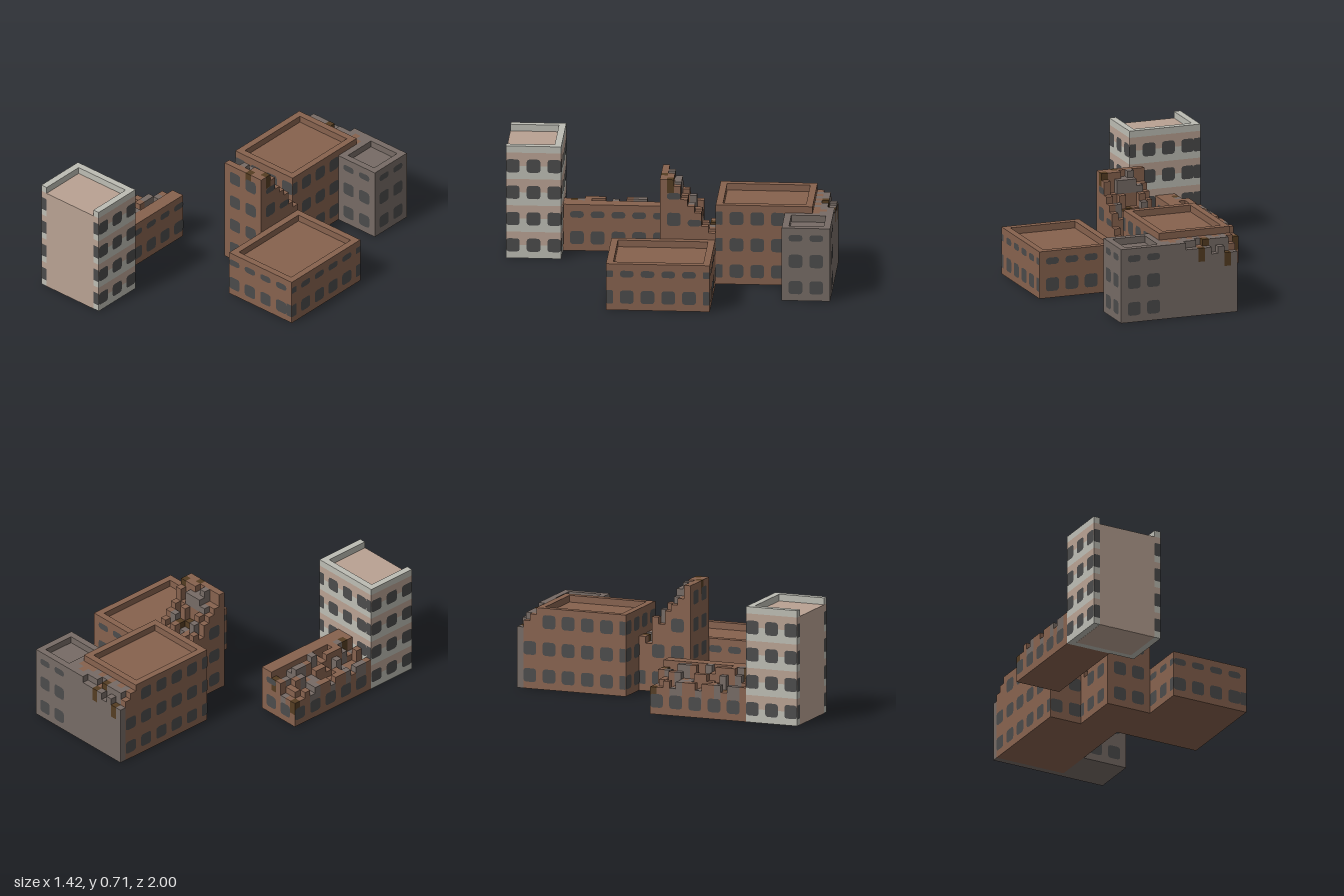
import * as THREE from 'three';
import { mergeGeometries } from 'three/addons/utils/BufferGeometryUtils.js';

const flat = (name, color) => {
  const m = new THREE.MeshStandardMaterial({ color });
  m.name = name;
  return m;
};

// All sizes below are in blocks; 24 blocks make one unit.
const BLOCK = 1 / 24;

export function createModel() {
  const brick = flat('brick', 0x87624e);
  const stone = flat('greyStone', 0x766b65);
  const plaster = flat('pinkPlaster', 0xb9a293);
  const trim = flat('paleTrim', 0xbdbdb4);
  const glass = flat('darkGlass', 0x4b4b4b);
  const char = flat('charredWood', 0x553d22);

  let seed = 7;
  const rand = () => (seed = (seed * 16807) % 2147483647) / 2147483647;

  const root = new THREE.Group();
  root.name = 'ruinedCityBlock';
  root.scale.setScalar(BLOCK);

  const building = (name) => {
    const g = new THREE.Group();
    g.name = name;
    root.add(g);
    return g;
  };

  const boxGeo = (x0, x1, y0, y1, z0, z1) =>
    new THREE.BoxGeometry(x1 - x0, y1 - y0, z1 - z0)
      .translate((x0 + x1) / 2, (y0 + y1) / 2, (z0 + z1) / 2);

  const addMerged = (g, name, mat, geos) => {
    if (!geos.length) return;
    const mesh = new THREE.Mesh(mergeGeometries(geos), mat);
    mesh.name = name;
    g.add(mesh);
  };

  const addBox = (g, name, mat, ...b) => addMerged(g, name, mat, [boxGeo(...b)]);

  // Solid block with a one-block parapet around a sunken roof
  const walledBlock = (g, mat, x0, x1, h, z0, z1) => {
    addBox(g, 'walls', mat, x0, x1, 0, h - 1, z0, z1);
    addMerged(g, 'parapet', mat, [
      boxGeo(x0, x0 + 1, h - 1, h, z0, z1),
      boxGeo(x1 - 1, x1, h - 1, h, z0, z1),
      boxGeo(x0 + 1, x1 - 1, h - 1, h, z0, z0 + 1),
      boxGeo(x0 + 1, x1 - 1, h - 1, h, z1 - 1, z1),
    ]);
  };

  // Window pane with clipped corners
  const pane = (w, h, r) => {
    const a = w / 2, b = h / 2, k = r * 0.3;
    const corner = [[a, b - r], [a - k, b - k], [a - r, b]];
    const pts = [];
    [[1, 1], [-1, 1], [-1, -1], [1, -1]].forEach(([sx, sy], i) => {
      const c = corner.map(([x, y]) => new THREE.Vector2(x * sx, y * sy));
      pts.push(...(i % 2 ? c.reverse() : c));
    });
    return new THREE.ShapeGeometry(new THREE.Shape(pts));
  };

  // Panes for one stretch of wall, every four blocks up
  const TURN = { front: 0, back: Math.PI, left: Math.PI / 2, right: -Math.PI / 2 };
  const column = (geos, side, plane, u0, u1, h, r) => {
    for (let y0 = 1; y0 < h; y0 += 4) {
      const y1 = Math.min(y0 + 2, h - 1);
      if (y1 - y0 < 1) continue;
      const out = plane + (side === 'front' || side === 'left' ? 0.04 : -0.04);
      const u = (u0 + u1) / 2, y = (y0 + y1) / 2;
      const p = pane(u1 - u0, y1 - y0, r).rotateY(TURN[side]);
      if (side === 'front' || side === 'back') p.translate(u, y, out);
      else p.translate(out, y, u);
      geos.push(p);
    }
  };

  // Two-block windows repeat every three blocks; wall ends cut them off
  const windows = (g, side, plane, from, to, height, corners = []) => {
    const topAt = typeof height === 'function' ? height : () => height;
    const phase = side === 'front' || side === 'back' ? 2 : 1;
    const geos = [];
    for (let s = -30 + phase; s < 30; s += 3) {
      const u0 = Math.max(s, from), u1 = Math.min(s + 2, to);
      if (u1 - u0 < 1) continue;
      let h = 99;
      for (let u = u0; u < u1; u++) h = Math.min(h, topAt(u));
      column(geos, side, plane, u0, u1, h, u1 - u0 < 2 ? 0.15 : 0.4);
    }
    corners.forEach(([u, h]) => column(geos, side, plane, u, u + 1, h, 0.1));
    addMerged(g, side + 'Windows', glass, geos);
  };

  // Broken masonry: one column per block, capped in mixed rubble
  const rubble = (g, x0, x1, z0, z1, heightAt, bodyAt, isWall) => {
    const bins = new Map([[brick, []], [stone, []], [char, []]]);
    for (let x = x0; x < x1; x++) {
      for (let z = z0; z < z1; z++) {
        const h = heightAt(x, z), body = bodyAt(x, z), pick = rand();
        const mixed = pick < 0.52 ? brick : pick < 0.92 ? stone : char;
        const cap = isWall(x, z) && pick < 0.92 ? body : mixed;
        bins.get(body).push(boxGeo(x, x + 1, 0, h - 2, z, z + 1));
        bins.get(cap).push(boxGeo(x, x + 1, h - 2, h, z, z + 1));
      }
    }
    bins.forEach((geos, mat) => addMerged(g, 'brokenMasonry_' + mat.name, mat, geos));
  };

  // Striped tower with a plain front and a parapet on three sides
  const tower = building('stripedTower');
  for (let y = 0; y < 16; y += 4) {
    addBox(tower, 'paleBand', trim, -17, -6, y, y + 2, 16, 24);
    addBox(tower, 'pinkBand', plaster, -17, -6, y + 2, y + 4, 16, 24);
  }
  addBox(tower, 'frontPanel', plaster, -16, -7, 0, 16, 23.9, 24.03);
  addBox(tower, 'basePanel', plaster, -16, -7, -0.02, 0.05, 17, 24);
  addMerged(tower, 'parapet', trim, [
    boxGeo(-17, -16, 16, 17, 16, 24),
    boxGeo(-7, -6, 16, 17, 16, 24),
    boxGeo(-16, -7, 16, 17, 16, 17),
  ]);
  windows(tower, 'left', -6, 16, 24, 16);
  windows(tower, 'right', -17, 16, 24, 16);
  windows(tower, 'back', 16, -17, -6, 16, [[-17, 16]]);
  windows(tower, 'front', 24, 0, 0, 16, [[-17, 16], [-7, 16]]);

  // Long low ruin behind the tower, collapsed towards the outer side
  const low = building('lowRuin');
  const lowSlope = [4, 4, 5, 6, 6];
  addBox(low, 'standingWall', brick, -12, -10, 0, 7, 1, 16);
  rubble(low, -17, -12, 1, 16,
    (x) => lowSlope[x + 17] + (x === -17 ? Math.floor(rand() * 2) : Math.floor(rand() * 3) - 1),
    () => brick, (x, z) => x === -17 && z % 3 === 0);
  windows(low, 'left', -10, 1, 16, 7);
  windows(low, 'right', -17, 1, 16, 4);
  windows(low, 'back', 1, -17, -10, (x) => (x < -13 ? 4 : 7));

  // Tall ruin, stepping down from its front wall
  const tall = building('tallRuin');
  const tallSlope = [16, 16, 15, 13, 12, 11, 9, 8];
  const tallTop = (z) => tallSlope[-z];
  rubble(tall, -2, 5, -7, 1,
    (x, z) => tallTop(z) - (z === 0 || x === 4 ? 0 : Math.floor(rand() * 3)),
    () => brick, (x, z) => z === 0 || x === 4 || x === -2);
  windows(tall, 'front', 1, -2, 5, 16);
  windows(tall, 'left', 5, -7, 1, tallTop);
  windows(tall, 'right', -2, -7, 1, (z) => tallTop(z) - 2);

  // Wide low building
  const wide = building('wideBuilding');
  walledBlock(wide, brick, 5, 17, 7, -7, 8);
  windows(wide, 'front', 8, 5, 17, 7, [[16, 4]]);
  windows(wide, 'left', 17, -7, 8, 7);
  windows(wide, 'right', 5, 1, 8, 7);
  windows(wide, 'back', -7, 5, 17, 7);

  // Main brick building with a crumbled back edge on a grey rear wall
  const main = building('mainBuilding');
  walledBlock(main, brick, -7, 4, 12, -21, -7);
  rubble(main, -7, 4, -24, -21,
    (x, z) => Math.min(11, z + 33 + (x > 0 ? 1 : 0) + Math.floor(rand() * 2)),
    (x, z) => (z === -24 ? stone : brick), (x, z) => z === -24);
  windows(main, 'front', -7, -7, 4, 12);
  windows(main, 'left', 4, -17, -7, 12);
  windows(main, 'right', -7, -24, -7, (z) => (z < -21 ? 9 : 12));

  // Grey corner building
  const corner = building('greyBuilding');
  walledBlock(corner, stone, 4, 11, 11, -24, -17);
  windows(corner, 'front', -17, 4, 11, 11);
  windows(corner, 'left', 11, -24, -17, 11);
  windows(corner, 'back', -24, 4, 11, 11);

  const model = new THREE.Group();
  model.name = 'model';
  model.add(root);
  return model;
}
